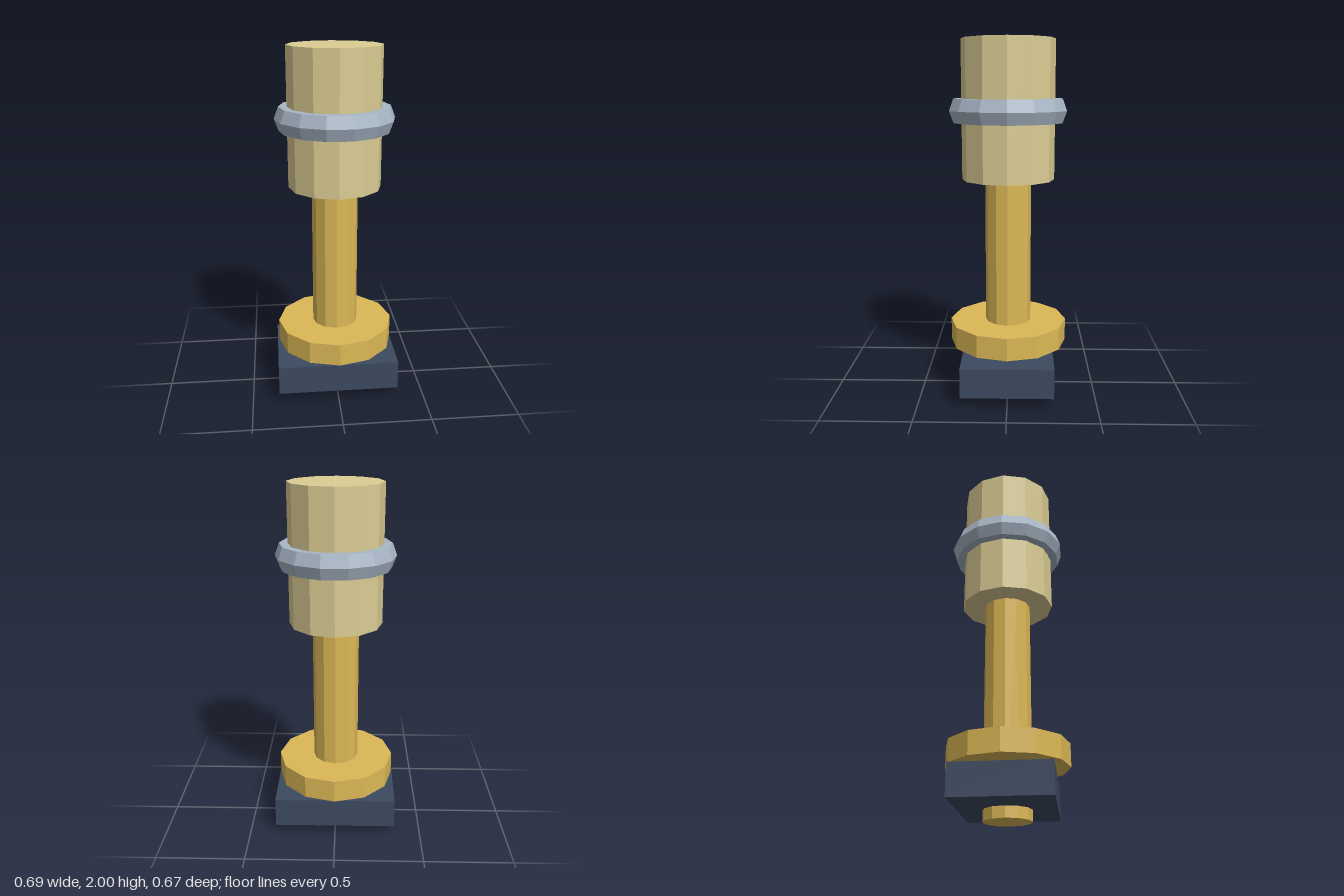
import * as THREE from 'three';

const mat = (color) => new THREE.MeshStandardMaterial({ color, flatShading: true });

export function createModel() {
  const group = new THREE.Group();
  const gold = mat(0xdcb856), cream = mat(0xdccd94), steel = mat(0xa8b6c6), navy = mat(0x3c4a60);

  const add = (name, geometry, material, y) => {
    const mesh = new THREE.Mesh(geometry, material);
    mesh.name = name;
    mesh.position.y = y;
    group.add(mesh);
    return mesh;
  };
  // Twelve-sided upright drum between two heights
  const drum = (name, radius, y0, y1, material) =>
    add(name, new THREE.CylinderGeometry(radius, radius, y1 - y0, 12), material, (y0 + y1) / 2);

  // Shaft with its lower disc
  drum('shaft', 0.13, 0, 1.24, gold);
  drum('disc', 0.335, 0.275, 0.403, gold);

  // Rectangular plate the shaft passes through
  add('plate', new THREE.BoxGeometry(0.692, 0.17, 0.52), navy, 0.145);

  // Thick head with a six-sided ring stretched in height
  drum('head', 0.26, 1.23, 2, cream);
  const ring = new THREE.TorusGeometry(0.281, 0.049, 6, 14);
  ring.rotateX(Math.PI / 2).scale(1, 1.55, 1);
  add('ring', ring, steel, 1.613);

  return group;
}
